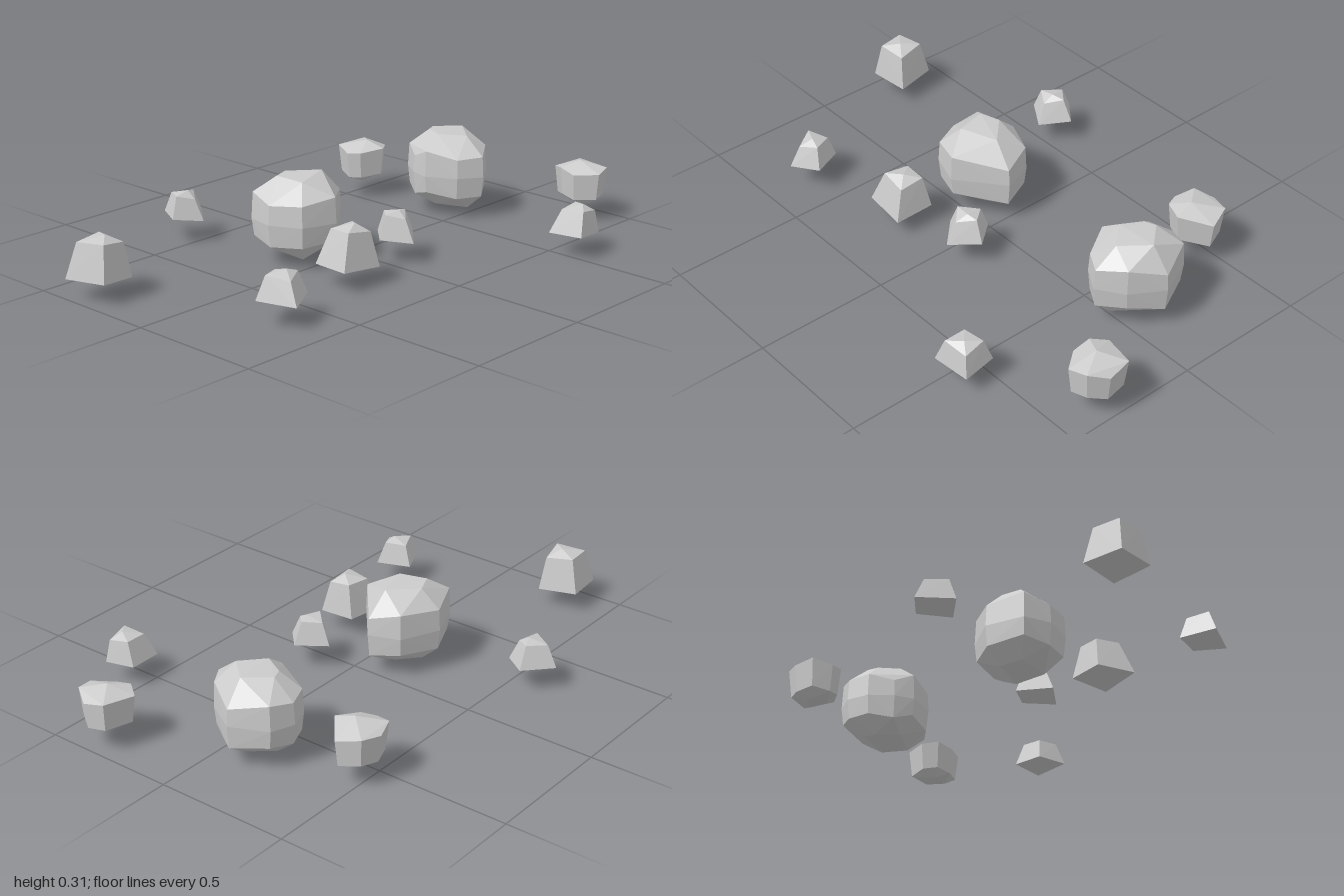
import * as THREE from 'three';
import { ConvexGeometry } from 'three/addons/geometries/ConvexGeometry.js';

const material = new THREE.MeshStandardMaterial({ color: 0xcccccc, flatShading: true });

// Faceted stone: convex hull around a few corner points
function stone(name, points) {
  const mesh = new THREE.Mesh(new ConvexGeometry(points), material);
  mesh.name = name;
  return mesh;
}

// Plan outline [x, z] moved toward its centre by a scale, at a height with a slight tilt
function ring(outline, centre, scale, y, wobble = 0, step = 1) {
  return outline.filter((_, i) => i % step === 0).map(([x, z], i) => new THREE.Vector3(
    centre[0] + (x - centre[0]) * scale,
    y + wobble * Math.sin(i * 2.4),
    centre[1] + (z - centre[1]) * scale));
}

// Boulders: full outline at the waist, narrower crown and underside
const boulders = [
  { centre: [-0.15, -0.1], foot: [-0.13, -0.09],
    outline: [[-0.165, -0.256], [-0.02, -0.19], [0.02, -0.075], [-0.145, 0.06], [-0.27, 0.016], [-0.325, -0.096], [-0.305, -0.2]] },
  { centre: [0.645, -0.095], foot: [0.67, -0.09],
    outline: [[0.65, -0.267], [0.736, -0.235], [0.797, -0.1], [0.725, 0.02], [0.63, 0.085], [0.544, 0.03], [0.487, -0.08], [0.507, -0.155], [0.565, -0.235]] },
];

// Medium stones: a waist outline with a peaked top
const cobbles = [
  { centre: [0.565, -0.46], peak: [0.56, -0.445],
    outline: [[0.565, -0.555], [0.64, -0.533], [0.67, -0.448], [0.57, -0.368], [0.485, -0.41], [0.464, -0.46], [0.49, -0.53]] },
  { centre: [0.91, 0.335], peak: [0.905, 0.33],
    outline: [[0.87, 0.24], [0.99, 0.267], [0.997, 0.352], [0.955, 0.416], [0.885, 0.432], [0.827, 0.357], [0.832, 0.293]] },
];

// Small stones: four base corners, tapering to a slightly shifted top
const pebbles = [
  { base: [[-0.998, -0.38], [-0.84, -0.4], [-0.816, -0.25], [-0.96, -0.224]], y: [0.065, 0.2, 0.22], taper: 0.7, shift: [0.005, 0.005] },
  { base: [[-0.305, -0.66], [-0.2, -0.576], [-0.277, -0.48], [-0.373, -0.54]], y: [0.08, 0.165, 0.182], taper: 0.6, shift: [-0.005, 0] },
  { base: [[-0.624, 0.22], [-0.57, 0.336], [-0.677, 0.39], [-0.747, 0.272]], y: [0.08, 0.165, 0.185], taper: 0.62, shift: [0.003, -0.005] },
  { base: [[-0.315, 0.123], [-0.16, 0.14], [-0.17, 0.288], [-0.335, 0.277]], y: [0.065, 0.195, 0.217], taper: 0.62, shift: [0.015, 0] },
  { base: [[0.064, 0.064], [0.144, 0.16], [0.053, 0.245], [-0.03, 0.16]], y: [0.08, 0.168, 0.182], taper: 0.6, shift: [0, -0.005] },
  { base: [[0.475, 0.517], [0.608, 0.507], [0.62, 0.63], [0.485, 0.652]], y: [0.073, 0.165, 0.182], taper: 0.66, shift: [0.01, 0.008] },
];

export function createModel() {
  const group = new THREE.Group();
  group.name = 'scatteredStones';

  boulders.forEach(({ centre, foot, outline }, i) => {
    group.add(stone(`boulder${i + 1}`, [
      ...ring(outline, centre, 0.5, 0.306, 0.004, 2),
      ...ring(outline, centre, 0.97, 0.24, 0.018),
      ...ring(outline, centre, 1, 0.16, 0),
      ...ring(outline, centre, 0.95, 0.085, 0.012),
      ...ring(outline, centre, 0.55, 0.03, 0.008, 2),
      new THREE.Vector3(foot[0], 0, foot[1]),
    ]));
  });

  cobbles.forEach(({ centre, peak, outline }, i) => {
    group.add(stone(`cobble${i + 1}`, [
      new THREE.Vector3(peak[0], 0.218, peak[1]),
      ...ring(outline, centre, 1, 0.186, 0.012),
      ...ring(outline, centre, 0.88, 0.085, 0.008),
      ...ring(outline, centre, 0.45, 0.062, 0.002, 2),
    ]));
  });

  pebbles.forEach(({ base, y, taper, shift }, i) => {
    const centre = [0, 1].map(k => base.reduce((sum, p) => sum + p[k], 0) / 4);
    const top = base.map(([x, z]) => [x + shift[0], z + shift[1]]);
    const topCentre = [centre[0] + shift[0], centre[1] + shift[1]];
    group.add(stone(`pebble${i + 1}`, [
      ...ring(base, centre, 1, y[0] + 0.006, 0.008),
      ...ring(top, topCentre, taper, y[1], 0.009),
      new THREE.Vector3(topCentre[0] + 0.01, y[2], topCentre[1] + 0.01),
    ]));
  });

  return group;
}
